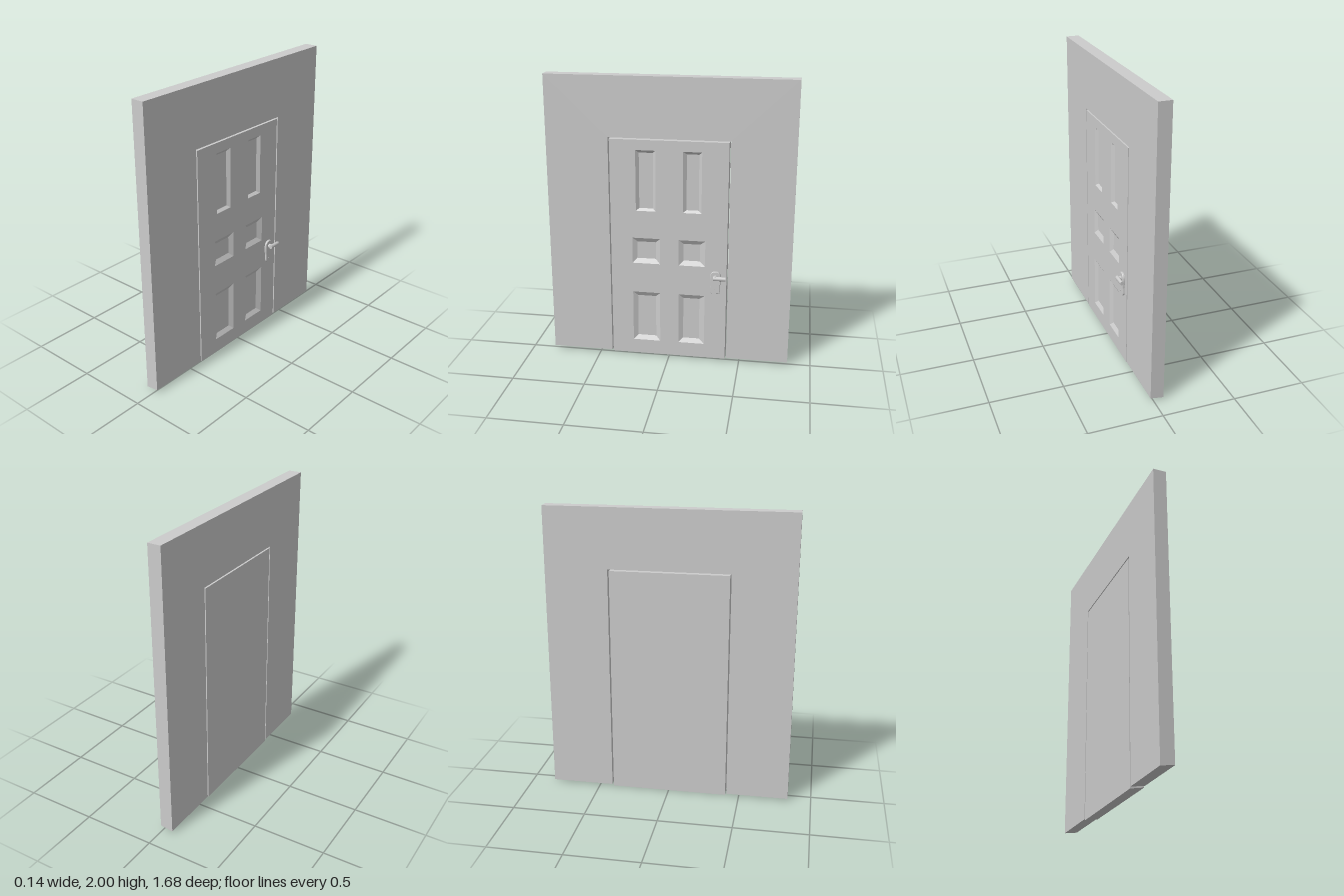
import * as THREE from 'three';

// Built facing +z in (u, y, depth), then turned so the door faces +x.
const BACK = -0.07, FRONT = 0.02, RECESS = 0.018;
const grey = new THREE.MeshStandardMaterial({ color: 0xcccccc });
const flat = new THREE.MeshStandardMaterial({ color: 0xcccccc, flatShading: true });

function part(name, geometry, parent, material = flat) {
  const mesh = new THREE.Mesh(geometry, material);
  mesh.name = name;
  parent.add(mesh);
  return mesh;
}

function polygon(points) {
  return new THREE.Shape(points.map(([u, y]) => new THREE.Vector2(u, y)));
}

// Underside rises from the back edge to the front edge
function slopeBottom(geometry, yBack, yFront) {
  const p = geometry.attributes.position;
  for (let i = 0; i < p.count; i++) {
    if (p.getY(i) > 0.05) continue;
    const t = (p.getZ(i) - BACK) / (FRONT - BACK);
    p.setY(i, THREE.MathUtils.lerp(yBack, yFront, t));
  }
  geometry.computeVertexNormals();
  return geometry;
}

const corners = ([u0, u1, y0, y1]) => [[u0, y0], [u1, y0], [u1, y1], [u0, y1]];

// Four sloping sides running in to a flat floor
function recessGeometry(outer, inner) {
  const points = [
    ...corners(outer).map(([u, y]) => [u, y, FRONT]),
    ...corners(inner).map(([u, y]) => [u, y, FRONT - RECESS]),
  ];
  const index = [4, 5, 6, 4, 6, 7];
  for (let i = 0; i < 4; i++) {
    const j = (i + 1) % 4;
    index.push(i, j, j + 4, i, j + 4, i + 4);
  }
  const g = new THREE.BufferGeometry();
  g.setAttribute('position', new THREE.Float32BufferAttribute(points.flat(), 3));
  g.setIndex(index);
  const out = g.toNonIndexed();
  out.computeVertexNormals();
  return out;
}

function buildWall(parent) {
  const shape = polygon([
    [-0.84, 0], [-0.413, 0], [-0.413, 1.59], [0.41, 1.59],
    [0.41, 0], [0.84, 0], [0.84, 2], [-0.84, 2],
  ]);
  const g = new THREE.ExtrudeGeometry(shape, { depth: FRONT - BACK, bevelEnabled: false });
  g.translate(0, 0, BACK);
  part('wall', slopeBottom(g, 0.01, 0.022), parent);
}

function buildDoor(parent) {
  const door = new THREE.Group();
  door.name = 'door';
  parent.add(door);
  const [u0, u1, top] = [-0.404, 0.4, 1.58];

  // Sides and back: a box without its front face
  const body = new THREE.BoxGeometry(u1 - u0, top, FRONT - BACK);
  body.setIndex(Array.from(body.index.array).filter((_, i) => i < 24 || i >= 30));
  body.translate((u0 + u1) / 2, top / 2, (FRONT + BACK) / 2);
  part('doorBody', slopeBottom(body, 0, 0.015), door);

  // Panels: [outer u0, u1, y0, y1], [inner u0, u1, y0, y1]
  const panels = [];
  const addRow = (y, yIn, columns) => columns.forEach(([a, b, c, d]) =>
    panels.push([[a, b, ...y], [c, d, ...yIn]]));
  const wide = [[-0.254, -0.062, -0.222, -0.094], [0.068, 0.251, 0.1, 0.213]];
  addRow([1.087, 1.51], [1.103, 1.49], [[-0.227, -0.09, -0.206, -0.111], [0.095, 0.222, 0.118, 0.201]]);
  addRow([0.706, 0.891], [0.738, 0.86], wide);
  addRow([0.119, 0.489], [0.15, 0.457], wide);

  const face = polygon(corners([u0, u1, 0.015, top]));
  for (const [outer] of panels) face.holes.push(polygon(corners(outer)));
  const faceGeometry = new THREE.ShapeGeometry(face);
  faceGeometry.translate(0, 0, FRONT);
  part('doorFace', faceGeometry, door);
  for (const [outer, inner] of panels) part('recessedPanel', recessGeometry(outer, inner), door);
}

function buildHandle(parent) {
  const handle = new THREE.Group();
  handle.name = 'handle';
  parent.add(handle);
  const u = 0.325, y = 0.637;

  // Back plate, a little wider at the top
  const plate = new THREE.Shape();
  plate.moveTo(u - 0.022, 0.519);
  plate.lineTo(u + 0.022, 0.519);
  plate.quadraticCurveTo(u + 0.031, 0.521, u + 0.031, 0.54);
  plate.lineTo(u + 0.03, 0.575);
  plate.quadraticCurveTo(u + 0.035, 0.6, u + 0.035, 0.635);
  plate.quadraticCurveTo(u + 0.034, 0.676, u, 0.676);
  plate.quadraticCurveTo(u - 0.034, 0.676, u - 0.035, 0.635);
  plate.quadraticCurveTo(u - 0.035, 0.6, u - 0.03, 0.575);
  plate.lineTo(u - 0.031, 0.54);
  plate.quadraticCurveTo(u - 0.031, 0.521, u - 0.022, 0.519);
  const plateGeometry = new THREE.ExtrudeGeometry(plate, {
    depth: 0.009, bevelThickness: 0.004, bevelSize: 0.003, bevelSegments: 1, curveSegments: 5,
  });
  plateGeometry.translate(0, 0, FRONT);
  part('backPlate', plateGeometry, handle);

  const keyhole = part('keyhole', new THREE.CylinderGeometry(0.006, 0.006, 0.002, 12), handle);
  keyhole.rotation.x = Math.PI / 2;
  keyhole.position.set(u - 0.006, 0.543, FRONT + 0.0135);

  // Spindle out of the plate, lever off to the door's edge
  const spindle = part('spindle', new THREE.CylinderGeometry(0.014, 0.016, 0.035, 16), handle, grey);
  spindle.rotation.x = Math.PI / 2;
  spindle.position.set(u, y, 0.045);
  const lever = part('lever', new THREE.CylinderGeometry(0.014, 0.016, 0.086, 12), handle, grey);
  lever.rotation.z = -Math.PI / 2;
  lever.scale.set(1, 1, 0.85);
  lever.position.set(0.354, y, 0.054);
}

export function createModel() {
  const model = new THREE.Group();
  const turned = new THREE.Group();
  turned.name = 'wallWithDoor';
  turned.rotation.y = Math.PI / 2;
  model.add(turned);
  buildWall(turned);
  buildDoor(turned);
  buildHandle(turned);
  return model;
}
